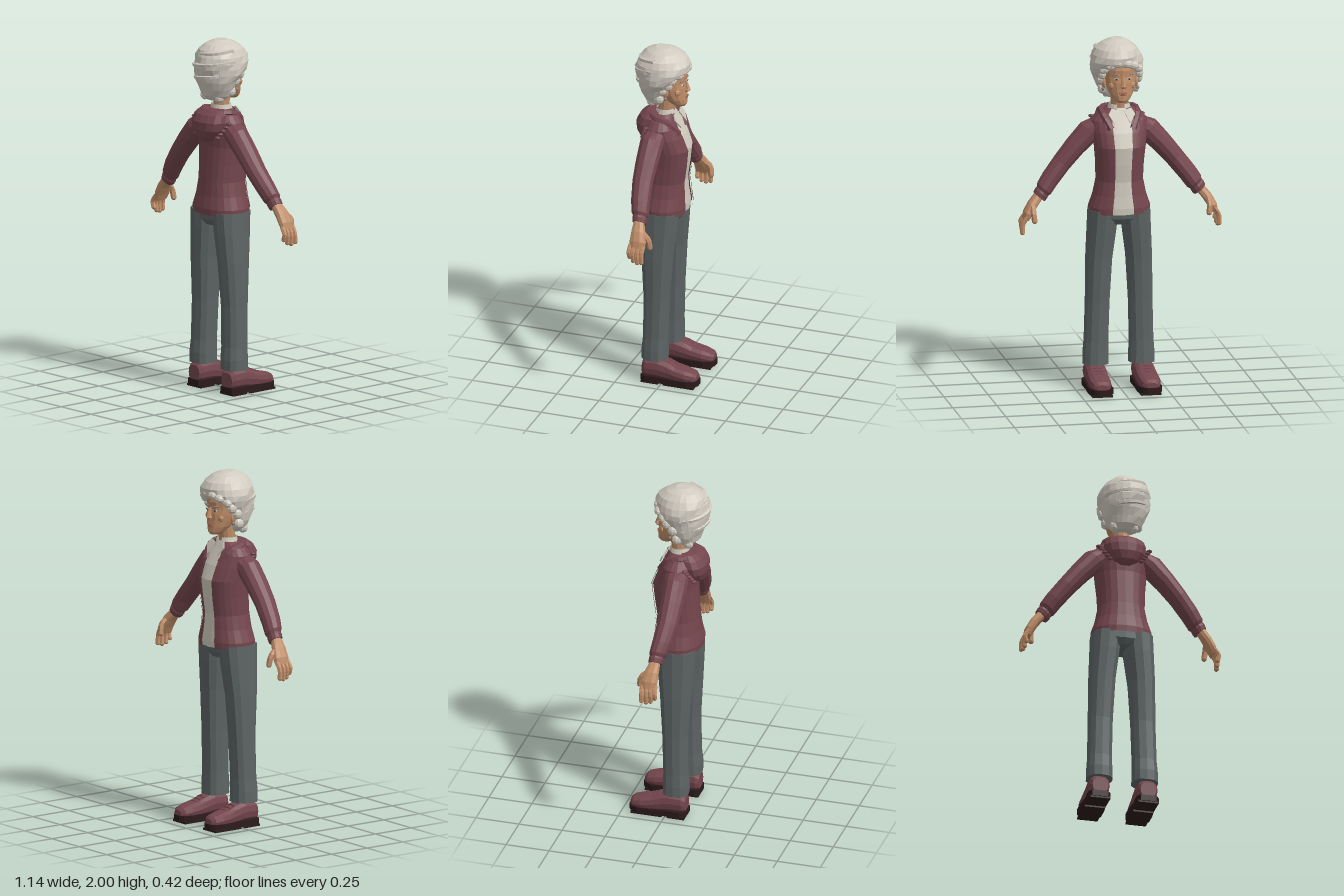
import * as THREE from 'three';

const mat = (name, color) => new THREE.MeshStandardMaterial({ name, color, flatShading: true, side: THREE.DoubleSide });
const M = {
  jacket: mat('jacket maroon', 0x74464d), trousers: mat('trouser grey', 0x5d6464),
  hair: mat('hair silver', 0xd0cabf), shirt: mat('shirt cream', 0xcfcabd),
  skin: mat('skin', 0xc08e69), sole: mat('sole black', 0x2c1a1c),
  lips: mat('lips', 0x95594b), dark: mat('eye dark', 0x3a2c26), brow: mat('brow grey', 0x8b8078),
};

// Skin through rings [x, y, z, ru, rv, tilt]; angle 0 looks to -z. s mirrors in x.
function loft(rings, { n = 12, p = 2, s = 1, from = 0, to = Math.PI * 2, cap = true, warp } = {}) {
  const pow = v => Math.sign(v) * Math.abs(v) ** (2 / p);
  const pts = rings.map(([x, y, z, ru, rv, tilt = 0]) => Array.from({ length: n + 1 }, (_, j) => {
    const a = from + (to - from) * j / n, u = pow(Math.sin(a)) * ru;
    const v = new THREE.Vector3(s * x + u * Math.cos(tilt), y + u * s * Math.sin(tilt), z - pow(Math.cos(a)) * rv);
    if (warp) warp(v, a, x, z);
    return v;
  }));
  const pos = [], tri = (...vs) => vs.forEach(v => pos.push(v.x, v.y, v.z));
  for (let i = 0; i < pts.length - 1; i++) for (let j = 0; j < n; j++) {
    const [a, b, c, d] = [pts[i][j], pts[i][j + 1], pts[i + 1][j], pts[i + 1][j + 1]];
    tri(a, c, b); tri(b, c, d);
  }
  if (cap) [0, rings.length - 1].forEach(i => {
    const mid = new THREE.Vector3();
    for (let j = 0; j < n; j++) mid.addScaledVector(pts[i][j], 1 / n);
    for (let j = 0; j < n; j++) i ? tri(mid, pts[i][j + 1], pts[i][j]) : tri(mid, pts[i][j], pts[i][j + 1]);
  });
  const g = new THREE.BufferGeometry();
  g.setAttribute('position', new THREE.Float32BufferAttribute(pos, 3));
  g.computeVertexNormals();
  return g;
}

export function createModel() {
  const model = new THREE.Group();
  model.name = 'standingWoman';
  const add = (name, geo, m) => {
    const mesh = new THREE.Mesh(geo, m);
    mesh.name = name;
    model.add(mesh);
    return mesh;
  };
  const blob = (name, m, r, [x, y, z], [sx, sy, sz]) => {
    const b = add(name, new THREE.SphereGeometry(r, 8, 6), m);
    b.position.set(x, y, z);
    b.scale.set(sx, sy, sz);
    return b;
  };
  const tube = (name, m, pts, r, seg = 6, sides = 6) => add(name, new THREE.TubeGeometry(
    new THREE.CatmullRomCurve3(pts.map(q => new THREE.Vector3(...q))), seg, r, sides), m);

  // Torso: jacket open at the front, shirt showing in the gap
  const torso = [
    [0, 1.015, .035, .172, .132], [0, 1.05, .035, .172, .134], [0, 1.12, .032, .148, .124],
    [0, 1.2, .03, .132, .118], [0, 1.3, .02, .135, .122], [0, 1.4, .012, .145, .124],
    [0, 1.48, .03, .155, .112], [0, 1.54, .045, .16, .096], [0, 1.58, .045, .125, .076], [0, 1.61, .04, .075, .057]];
  const grow = d => torso.map(([x, y, z, a, b]) => [x, y, z, a + d, b + d]);
  add('jacketBody', loft(torso, { n: 20, p: 2.3, from: .3, to: Math.PI * 2 - .3, cap: false }), M.jacket);
  add('shirtFront', loft(grow(-.006), { n: 8, p: 2.3, from: -.45, to: .45, cap: false }), M.shirt);
  add('buttonBand', loft(grow(-.001), { n: 2, p: 2.3, from: -.06, to: .06, cap: false }), M.shirt);
  for (const s of [1, -1]) {
    add('jacketEdge', loft(grow(.007), { n: 2, p: 2.3, from: s * .29, to: s * .4, cap: false }), M.jacket);
    add('jacketRib', loft(grow(.006), { n: 2, p: 2.3, from: s * .5, to: s * .58, cap: false }), M.jacket);
    // Gathered shoulder seam on the back
    for (let i = 0; i < 5; i++)
      blob('shoulderGather', M.jacket, .016, [s * (.145 - i * .014), 1.545 - i * .021, .105 + i * .009], [1, .6, 1]);
  }

  // Hood lying on the back, with its rim running round to the chest
  add('hood', loft([
    [0, 1.43, .135, .025, .03], [0, 1.455, .14, .07, .045], [0, 1.5, .135, .108, .064],
    [0, 1.545, .125, .12, .075], [0, 1.585, .11, .112, .068], [0, 1.61, .095, .085, .045]], { n: 14 }), M.jacket);
  tube('hoodRim', M.jacket, [[-.06, 1.5, -.06], [-.095, 1.57, -.01], [-.095, 1.595, .07], [0, 1.59, .135],
    [.095, 1.595, .07], [.095, 1.57, -.01], [.06, 1.5, -.06]], .02, 18);

  // Neck and shirt collar
  add('neck', loft([[0, 1.54, .04, .055, .05], [0, 1.62, .034, .048, .044], [0, 1.73, .025, .052, .052]]), M.skin);
  add('collar', loft([[0, 1.575, .036, .075, .068], [0, 1.61, .034, .063, .058], [0, 1.632, .035, .058, .053]],
    { n: 18, from: .35, to: Math.PI * 2 - .35, cap: false }), M.shirt);
  for (const s of [1, -1]) {
    const wing = new THREE.Shape([[.012, .025], [.055, .04], [.075, .005], [.045, -.05]].map(([x, y]) => new THREE.Vector2(s * x, y)));
    const w = add('collarWing', new THREE.ExtrudeGeometry(wing, { depth: .007, bevelEnabled: false }), M.shirt);
    w.position.set(0, 1.58, -.05);
    w.rotation.x = .45;
  }

  // Head and face
  add('head', loft([
    [0, 1.655, -.045, .028, .034], [0, 1.67, -.038, .046, .05], [0, 1.7, -.02, .066, .068],
    [0, 1.735, -.004, .079, .082], [0, 1.77, .002, .087, .088], [0, 1.8, .005, .09, .086],
    [0, 1.84, .01, .092, .094], [0, 1.9, .02, .085, .09]], { n: 14 }), M.skin);
  add('nose', loft([[0, 1.742, -.086, .014, .01], [0, 1.752, -.09, .019, .02], [0, 1.768, -.088, .012, .017],
    [0, 1.81, -.08, .008, .008]], { n: 6 }), M.skin);
  blob('upperLip', M.lips, .024, [0, 1.713, -.085], [1, .2, .4]);
  blob('lowerLip', M.lips, .022, [0, 1.703, -.083], [1, .22, .4]);
  for (const s of [1, -1]) {
    blob('eyeWhite', M.shirt, .014, [s * .036, 1.793, -.074], [1, .45, .4]);
    blob('iris', M.dark, .006, [s * .036, 1.793, -.078], [1, 1, .5]);
    blob('eyebrow', M.brow, .024, [s * .038, 1.818, -.076], [1, .16, .3]).rotation.y = s * -.35;
    blob('ear', M.skin, .03, [s * .091, 1.755, .008], [.4, 1, .65]);
    blob('earring', M.brow, .01, [s * .097, 1.722, .005], [1, 1, 1]);
    blob('cheek', M.skin, .03, [s * .05, 1.752, -.05], [.9, .8, .6]);
  }

  // Hair: wavy mass cut back to a hairline around the face
  const hairline = y => y < 1.72 ? .035 : y < 1.78 ? .015 : y < 1.82 ? -.025 : y < 1.86 ? -.06 : -.2;
  add('hairMass', loft([
    [.004, 1.66, .08, .06, .04], [.006, 1.69, .08, .095, .07], [.008, 1.73, .078, .115, .088],
    [.01, 1.775, .07, .128, .118], [.012, 1.815, .06, .142, .136], [.012, 1.85, .055, .148, .147],
    [.014, 1.88, .048, .147, .153], [.014, 1.915, .045, .137, .15], [.014, 1.95, .045, .116, .13],
    [.012, 1.98, .048, .08, .092], [.01, 2, .05, .035, .04]], {
    n: 22,
    warp: (v, a, x, z) => {
      const k = 1 + .03 * Math.sin(3 * a + v.y * 40) + .015 * Math.sin(7 * a - v.y * 60);
      v.x = x + (v.x - x) * k;
      v.z = Math.max(z + (v.z - z) * k, hairline(v.y));
    },
  }), M.hair);
  // Swept fringe and curls beside the face
  [[-.09, 1.845, -.035], [-.06, 1.868, -.068], [-.02, 1.882, -.083], [.025, 1.885, -.083], [.065, 1.87, -.066], [.095, 1.845, -.035]]
    .forEach(q => { blob('fringeCurl', M.hair, .036, q, [1, .7, .75]).rotation.z = -q[0] * 5; });
  for (const s of [1, -1]) [[.105, 1.81, -.01], [.108, 1.775, .025], [.095, 1.715, .045], [.06, 1.68, .1]]
    .forEach(([x, y, z]) => blob('sideCurl', M.hair, .03, [s * x, y, z], [.8, 1, 1]));
  for (const [y, r, z] of [[1.8, .124, .065], [1.87, .139, .055], [1.93, .12, .05]])
    tube('hairWave', M.hair, [-1, -.5, 0, .5, 1].map(t => [.012 + r * Math.sin(t * 1.5), y + .025 * t, z + r * 1.04 * Math.cos(t * 1.5)]), .013, 12, 5);

  // Trousers
  add('hips', loft([[0, .95, .04, .085, .085], [0, .985, .04, .168, .108], [0, 1.06, .035, .155, .115]], { n: 16, p: 2.4 }), M.trousers);

  for (const s of [1, -1]) {
    add('trouserLeg', loft([
      [.13, .14, .052, .075, .074], [.13, .2, .053, .074, .074], [.128, .27, .05, .07, .07],
      [.122, .5, .045, .07, .073], [.113, .75, .045, .075, .09], [.098, .92, .042, .082, .106],
      [.09, 1.03, .04, .085, .113]], { s, n: 12, p: 2.4 }), M.trousers);

    // Shoe: upper built along its length, on a thick rounded sole
    const upper = loft([
      [.137, -.115, .08, .045, .045], [.137, -.095, .088, .058, .056], [.137, -.02, .09, .06, .06],
      [.137, .03, .08, .06, .056], [.139, .08, .07, .062, .045], [.14, .14, .062, .062, .04],
      [.14, .185, .055, .05, .034], [.14, .203, .05, .03, .024]], { s, n: 12, p: 2.5 });
    add('shoeUpper', upper.rotateX(-Math.PI / 2), M.jacket);
    const outline = new THREE.Shape([[-.045, -.12], [.045, -.12], [.064, -.09], [.06, 0], [.068, .08], [.068, .155],
      [.045, .195], [.02, .21], [-.02, .21], [-.045, .195], [-.068, .155], [-.068, .08], [-.06, 0], [-.064, -.09]]
      .map(([x, y]) => new THREE.Vector2(x + s * .138, y)));
    const sole = new THREE.ExtrudeGeometry(outline, { depth: .034, bevelEnabled: false });
    add('shoeSole', sole.rotateX(-Math.PI / 2).translate(0, .01, 0), M.sole);
    for (const [z, len] of [[.065, .1], [-.105, .18]]) {
      const tread = add('shoeTread', new THREE.BoxGeometry(.115, .012, len), M.sole);
      tread.position.set(s * .138, .006, z);
    }
    for (let i = 0; i < 3; i++)
      tube('shoeLace', M.jacket, [-1, 0, 1].map(t => [s * .139 + t * .03, .132 - i * .01 - .008 * t * t, -.04 - i * .025]), .006, 4, 5);

    // Sleeve with gathered cuff
    add('sleeve', loft([
      [.455, 1.115, .028, .042, .04, .71], [.442, 1.135, .03, .045, .043, .71], [.435, 1.145, .031, .042, .04, .71],
      [.425, 1.16, .034, .051, .05, .71], [.39, 1.21, .045, .053, .055, .71], [.32, 1.298, .058, .055, .06, .71],
      [.245, 1.387, .06, .06, .065, .71], [.16, 1.475, .06, .068, .068, .71], [.11, 1.51, .055, .055, .066, .6]],
      { s, n: 12 }), M.jacket);

    // Hand
    add('palm', loft([
      [.535, .995, .012, .02, .042, .4], [.522, 1.03, .012, .026, .048, .45],
      [.495, 1.075, .018, .028, .042, .6], [.455, 1.125, .028, .027, .03, .7]], { s, n: 10, p: 2.4 }), M.skin);
    [[-.024, .925], [.002, .918], [.027, .925], [.05, .945]].forEach(([z, y], i) =>
      tube('finger', M.skin, [[s * .53, 1.015, z], [s * .555, .975, z + .003], [s * (.558 - i * .004), y, z + .002]], .0135, 5));
    tube('thumb', M.skin, [[s * .495, 1.075, -.005], [s * .5, 1.045, -.04], [s * .495, .995, -.05]], .016, 5);
    [[-.024, .925], [.002, .918], [.027, .925], [.05, .945]].forEach(([z, y], i) =>
      blob('fingertip', M.skin, .0135, [s * (.558 - i * .004), y, z + .002], [1, 1, 1]));
    blob('thumbTip', M.skin, .016, [s * .495, .995, -.05], [1, 1, 1]);
  }
  return model;
}
